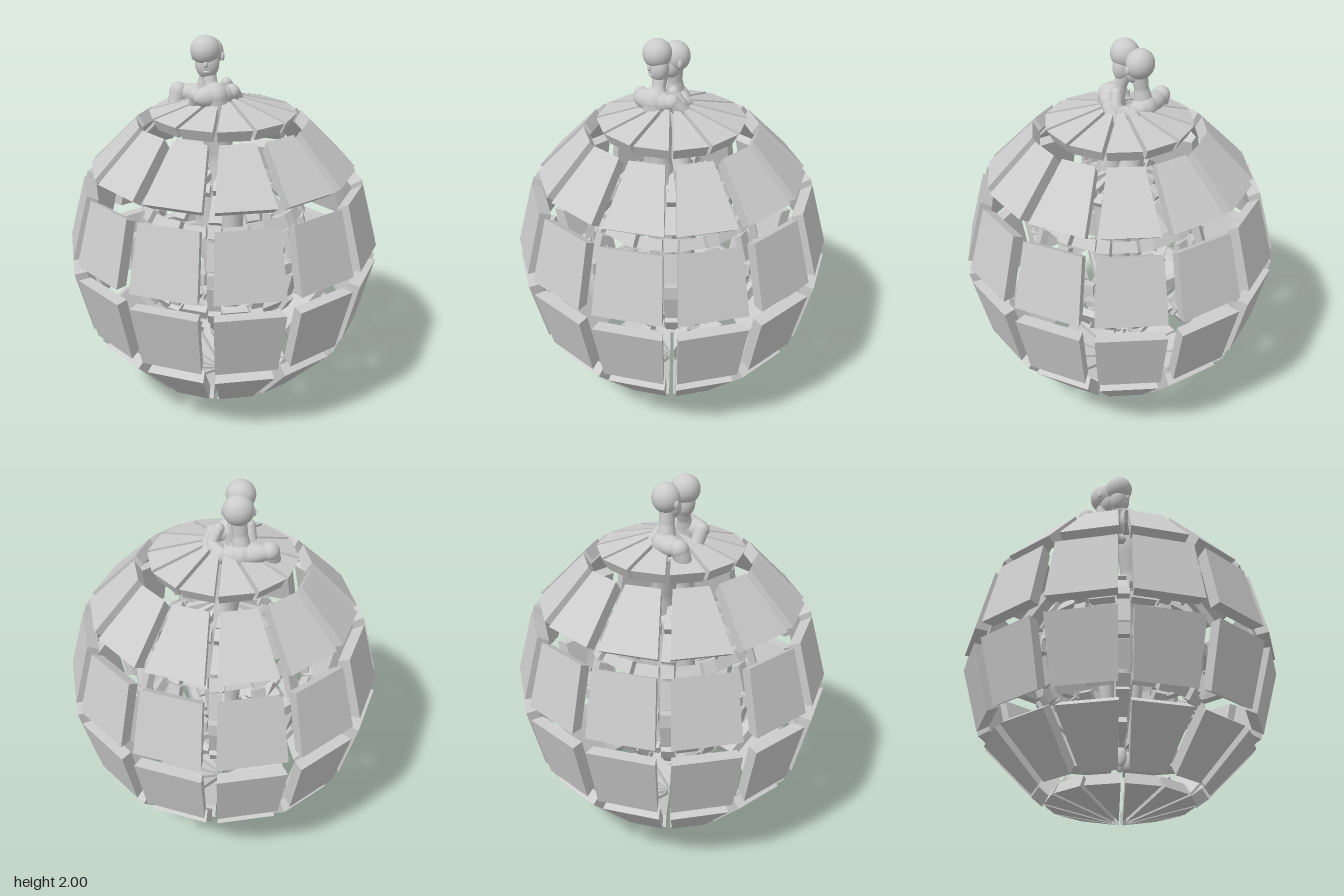
import * as THREE from 'three';

const MID = 0.848, RAD = Math.PI / 180;
const flat = new THREE.MeshStandardMaterial({ color: 0xcccccc, flatShading: true });
const smooth = new THREE.MeshStandardMaterial({ color: 0xcccccc });

// Tapered slab: outer face between two edges [u, h, halfWidth], inner face shrunk towards the ball centre
function slab(a, b, thick) {
  const [lo, hi] = a[1] < b[1] ? [a, b] : [b, a];
  const k = 1 - thick / Math.hypot(lo[0], lo[1]);
  const outer = [[-lo[2], lo[1], lo[0]], [lo[2], lo[1], lo[0]], [hi[2], hi[1], hi[0]], [-hi[2], hi[1], hi[0]]];
  const p = outer.concat(outer.map(c => c.map(v => v * k)));
  const quads = [[0, 1, 2, 3], [5, 4, 7, 6], [1, 5, 6, 2], [4, 0, 3, 7], [3, 2, 6, 7], [4, 5, 1, 0]];
  const pos = [];
  for (const [i, j, m, n] of quads) for (const q of [i, j, m, i, m, n]) pos.push(...p[q]);
  const g = new THREE.BufferGeometry();
  g.setAttribute('position', new THREE.Float32BufferAttribute(pos, 3));
  g.computeVertexNormals();
  return g;
}

// Twelve copies round the vertical axis
function ring(parent, name, geo, start) {
  for (let i = 0; i < 12; i++) {
    const m = new THREE.Mesh(geo, flat);
    m.name = name;
    m.position.y = MID;
    m.rotation.y = (start + i * 30) * RAD;
    parent.add(m);
  }
}

// Edge of a 30 degree plate at radius r, kept a distance gap from the meridians
function plateEdge(r, h, gap) {
  const a = 15 * RAD - Math.asin(gap / r);
  return [r * Math.cos(a), h, r * Math.sin(a)];
}

// Edge of an inner strip at a given latitude
const latEdge = (R, lat, half) => [R * Math.cos(lat * RAD), R * Math.sin(lat * RAD), half];

function ellipsoid(parent, name, [x, y, z], [a, b, c], rot = [0, 0, 0]) {
  const m = new THREE.Mesh(new THREE.SphereGeometry(1, 32, 24), smooth);
  m.name = name;
  m.position.set(x, y, z);
  m.scale.set(a, b, c);
  m.rotation.set(...rot);
  parent.add(m);
}

// Smooth limb with rounded joints through a few points
function limb(parent, name, points, radii) {
  const curve = new THREE.CatmullRomCurve3(points.map(p => new THREE.Vector3(...p)));
  const N = 24, S = 14;
  const geo = new THREE.TubeGeometry(curve, N, 1, S);
  const pos = geo.attributes.position, v = new THREE.Vector3();
  for (let i = 0; i <= N; i++) {
    const t = i / N, c = curve.getPointAt(t);
    const f = t * (radii.length - 1), j = Math.min(Math.floor(f), radii.length - 2);
    const r = THREE.MathUtils.lerp(radii[j], radii[j + 1], f - j);
    for (let s = 0; s <= S; s++) {
      const q = i * (S + 1) + s;
      v.fromBufferAttribute(pos, q).sub(c).multiplyScalar(r).add(c);
      pos.setXYZ(q, v.x, v.y, v.z);
    }
  }
  geo.computeVertexNormals();
  const m = new THREE.Mesh(geo, smooth);
  m.name = name;
  parent.add(m);
  [0, points.length - 1].forEach((e, n) => {
    const r = n ? radii[radii.length - 1] : radii[0];
    ellipsoid(parent, name + 'End', points[e], [r, r, r]);
  });
}

export function createModel() {
  const model = new THREE.Group();
  model.name = 'openBallWithFigures';

  // Outer shell: lower edge, upper edge (radius, height above the middle), gap to the meridian
  const shell = new THREE.Group();
  shell.name = 'outerShell';
  const bands = [
    ['equatorPlate', [0.831, 0.042], [0.742, 0.383], 0.038],
    ['shoulderPlate', [0.70, 0.46], [0.452, 0.71], 0.03],
    ['capPlate', [0.385, 0.752], [0.045, 0.845], 0.011],
  ];
  for (const s of [1, -1])
    for (const [name, a, b, gap] of bands)
      ring(shell, name, slab(plateEdge(a[0], s * a[1], gap), plateEdge(b[0], s * b[1], gap * 0.9), 0.066), 15);
  model.add(shell);

  // Inner lattice: parallels, meridian ribs and crossing blocks
  const lattice = new THREE.Group();
  lattice.name = 'innerLattice';
  for (const lat of [-60, -30, 0, 30, 60]) {
    const w = l => 0.47 * Math.cos(l * RAD) * Math.sin(15 * RAD) - 0.042;
    ring(lattice, 'parallelStrip', slab(latEdge(0.47, lat - 3.6, w(lat - 3.6)), latEdge(0.47, lat + 3.6, w(lat + 3.6)), 0.04), 15);
    const n = Math.abs(lat) > 50 ? 0.024 : 0.034;
    ring(lattice, 'crossingBlock', slab(latEdge(0.494, lat - 4, n), latEdge(0.494, lat + 4, n), 0.05), 0);
  }
  for (const s of [1, -1])
    for (const [a, b, wa, wb] of [[6, 24, 0.036, 0.034], [36, 54, 0.034, 0.026], [66, 85, 0.022, 0.008]])
      ring(lattice, 'meridianRib', slab(latEdge(0.475, s * a, wa), latEdge(0.475, s * b, wb), 0.04), 0);
  model.add(lattice);

  // Front figure, seen from behind, embracing the other
  const front = new THREE.Group();
  front.name = 'frontFigure';
  ellipsoid(front, 'cranium', [-0.085, 1.925, 0.035], [0.075, 0.075, 0.075]);
  ellipsoid(front, 'face', [-0.075, 1.855, 0.035], [0.062, 0.075, 0.052]);
  ellipsoid(front, 'nose', [-0.075, 1.862, 0.085], [0.011, 0.018, 0.013]);
  ellipsoid(front, 'mouth', [-0.075, 1.822, 0.077], [0.02, 0.008, 0.01]);
  limb(front, 'neck', [[-0.075, 1.83, 0.02], [-0.06, 1.77, 0.04], [-0.04, 1.69, 0.06]], [0.04, 0.036, 0.05]);
  limb(front, 'torso', [[-0.03, 1.70, 0.08], [-0.02, 1.55, 0.075], [0, 1.38, 0.07], [0, 1.22, 0.06]], [0.07, 0.075, 0.06, 0.075]);
  ellipsoid(front, 'shoulders', [-0.035, 1.70, 0.085], [0.115, 0.06, 0.06], [0, 0.55, 0]);
  limb(front, 'leftArm', [[0.05, 1.71, 0.03], [0.075, 1.65, -0.03], [0.04, 1.60, -0.12]], [0.042, 0.034, 0.026]);
  limb(front, 'rightArm', [[-0.12, 1.71, 0.11], [-0.14, 1.62, 0.05], [-0.15, 1.6, -0.08]], [0.038, 0.032, 0.026]);

  // Back figure, leaning its head against the first
  const back = new THREE.Group();
  back.name = 'backFigure';
  ellipsoid(back, 'cranium', [-0.08, 1.895, -0.07], [0.078, 0.078, 0.072]);
  ellipsoid(back, 'jaw', [-0.08, 1.85, -0.04], [0.055, 0.065, 0.05]);
  for (const s of [-1, 1]) ellipsoid(back, 'ear', [-0.08 + s * 0.076, 1.875, -0.05], [0.01, 0.022, 0.014]);
  limb(back, 'neck', [[-0.08, 1.85, -0.065], [-0.09, 1.77, -0.07], [-0.10, 1.67, -0.08]], [0.042, 0.038, 0.055]);
  limb(back, 'torso', [[-0.10, 1.66, -0.085], [-0.07, 1.52, -0.07], [-0.03, 1.36, -0.06], [0, 1.22, -0.05]], [0.068, 0.07, 0.06, 0.075]);
  ellipsoid(back, 'shoulders', [-0.12, 1.665, -0.085], [0.14, 0.055, 0.062], [0, 0, -0.1]);
  limb(back, 'rightArm', [[-0.24, 1.68, -0.08], [-0.25, 1.6, -0.05], [-0.14, 1.55, 0.08]], [0.048, 0.036, 0.026]);
  limb(back, 'leftArm', [[0, 1.65, -0.09], [0.05, 1.68, -0.03], [0.02, 1.75, 0.0]], [0.042, 0.034, 0.028]);

  // Legs reaching down inside the ball
  for (const [fig, z] of [[front, 0.05], [back, -0.05]])
    for (const s of [-1, 1]) {
      limb(fig, 'leg', [[s * 0.05, 1.2, z], [s * 0.055, 0.8, z * 1.2], [s * 0.04, 0.4, z * 0.6]], [0.065, 0.045, 0.024]);
      ellipsoid(fig, 'foot', [s * 0.04, 0.335, z * 0.5], [0.025, 0.055, 0.03]);
    }
  model.add(front, back);
  return model;
}
